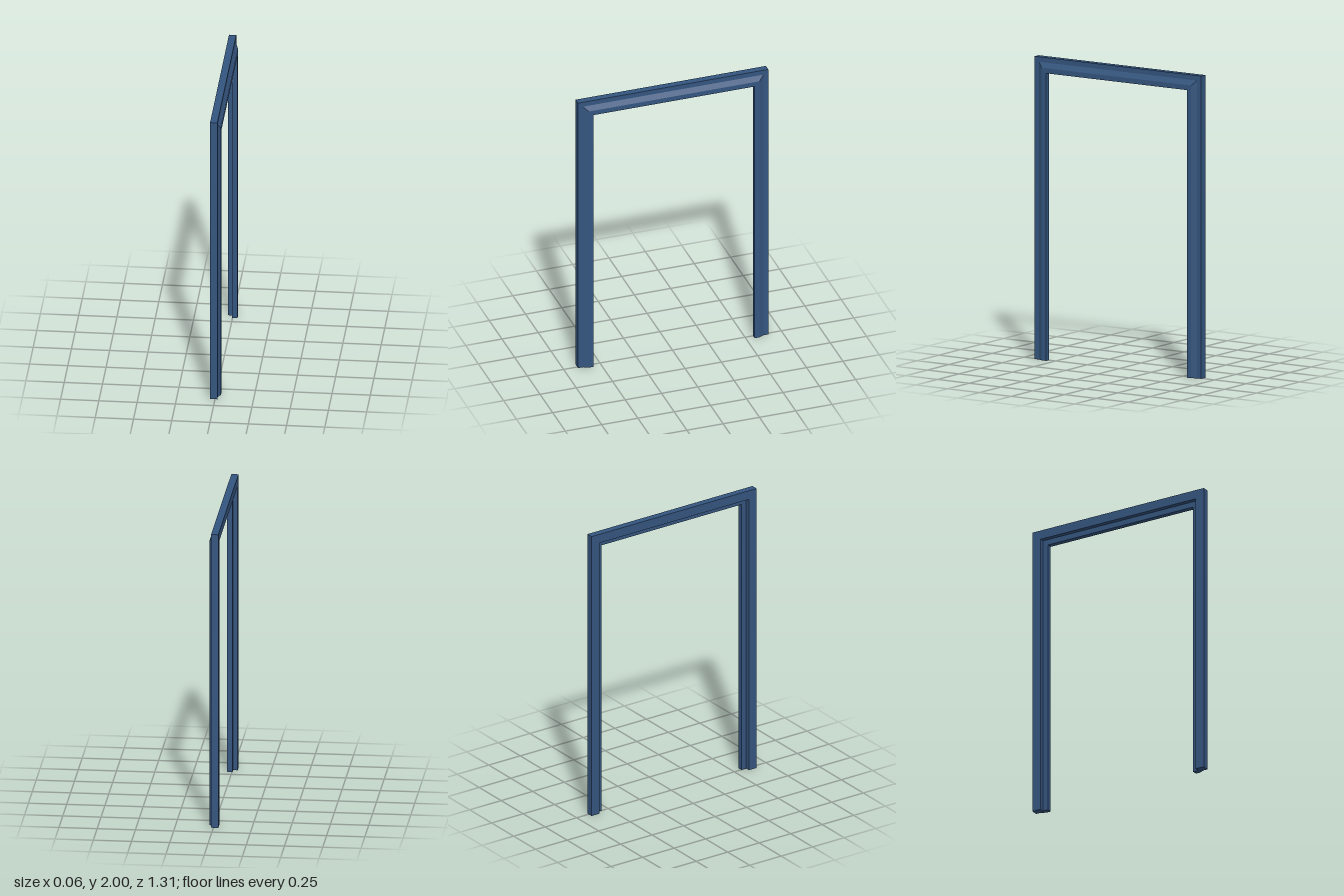
import * as THREE from 'three';

const HEIGHT = 2, HALF_WIDTH = 0.655;

// Moulding cross-section, counter-clockwise: [inset from the outer edge, x]
const PROFILE = [
  [0, -0.0325], [0.062, -0.0325], [0.062, -0.002], [0.1, -0.002],
  [0.1, 0.0325], [0.067, 0.0325], [0.033, 0.015], [0, 0.015],
];

// Cross-sections at both feet and both mitred corners
const station = (side, atTop) => PROFILE.map(([inset, x]) =>
  new THREE.Vector3(x, atTop ? HEIGHT - inset : 0, side * (HALF_WIDTH - inset)));

function meshFrom(triangles, name, material) {
  const geometry = new THREE.BufferGeometry().setFromPoints(triangles);
  geometry.computeVertexNormals();
  const mesh = new THREE.Mesh(geometry, material);
  mesh.name = name;
  return mesh;
}

// Flat-sided length of moulding between two cross-sections
function loft(start, end) {
  const triangles = [];
  start.forEach((a0, i) => {
    const j = (i + 1) % start.length;
    const b0 = start[j], a1 = end[i], b1 = end[j];
    triangles.push(a0, a1, b1, a0, b1, b0);
  });
  return triangles;
}

// Flat cap closing the foot of a jamb
function cap(section, flip) {
  const outline = PROFILE.map(([inset, x]) => new THREE.Vector2(inset, x));
  return THREE.ShapeUtils.triangulateShape(outline, [])
    .flatMap(([a, b, c]) => (flip ? [a, c, b] : [a, b, c]).map((k) => section[k]));
}

export function createModel() {
  const group = new THREE.Group();
  group.name = 'doorFrame';
  const material = new THREE.MeshStandardMaterial({ color: 0x34557f });

  const frontFoot = station(1, false), frontCorner = station(1, true);
  const backCorner = station(-1, true), backFoot = station(-1, false);

  // Two jambs and the header, meeting at mitres
  group.add(
    meshFrom([...loft(frontFoot, frontCorner), ...cap(frontFoot, false)], 'frontJamb', material),
    meshFrom(loft(frontCorner, backCorner), 'header', material),
    meshFrom([...loft(backCorner, backFoot), ...cap(backFoot, true)], 'backJamb', material),
  );
  return group;
}
